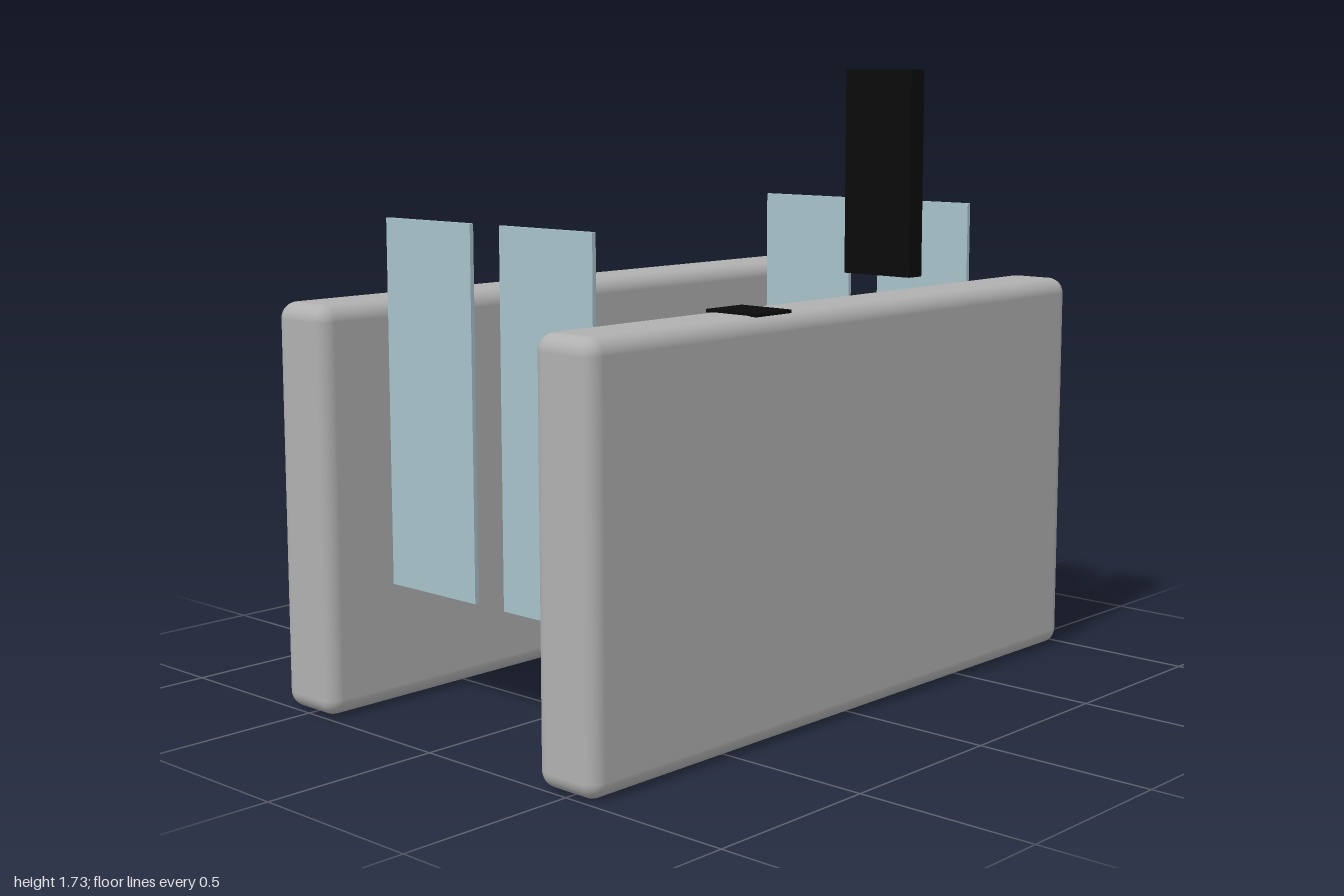
import * as THREE from 'three';
import { RoundedBoxGeometry } from 'three/addons/geometries/RoundedBoxGeometry.js';

const material = (name, color) => {
  const m = new THREE.MeshStandardMaterial({ color });
  m.name = name;
  return m;
};

export function createModel() {
  const model = new THREE.Group();
  model.name = 'entranceGate';
  const metal = material('brushed grey', 0xb0b0b0);
  const glass = material('pale blue glass', 0xa8c2ca);
  const black = material('black', 0x0a0a0a);

  // Places a box by its minimum and maximum corners, with optional rounded edges
  function box(name, mat, [x0, y0, z0], [x1, y1, z1], radius = 0) {
    const size = [x1 - x0, y1 - y0, z1 - z0];
    const geometry = radius
      ? new RoundedBoxGeometry(...size, 5, radius)
      : new THREE.BoxGeometry(...size);
    const mesh = new THREE.Mesh(geometry, mat);
    mesh.name = name;
    mesh.position.set((x0 + x1) / 2, (y0 + y1) / 2, (z0 + z1) / 2);
    model.add(mesh);
  }

  // Side cabinets with softened edges
  box('rightCabinet', metal, [-0.605, 0, -1], [-0.405, 1.113, 1], 0.045);
  box('leftCabinet', metal, [0.391, 0, -1], [0.591, 1.113, 1], 0.045);

  // Glass leaves at both ends of the passage
  for (const [end, z] of [['front', 0.777], ['back', -0.777]]) {
    box(end + 'RightGlass', glass, [-0.396, 0.337, z - 0.006], [-0.062, 1.335, z + 0.006]);
    box(end + 'LeftGlass', glass, [0.049, 0.337, z - 0.006], [0.383, 1.335, z + 0.006]);
  }

  // Upright display floating above the left cabinet
  box('display', black, [0.381, 1.17, -0.25], [0.603, 1.725, -0.195]);

  // Thin reader pad on the cabinet top
  box('readerPad', black, [0.407, 1.111, 0.264], [0.577, 1.12, 0.4]);

  return model;
}
